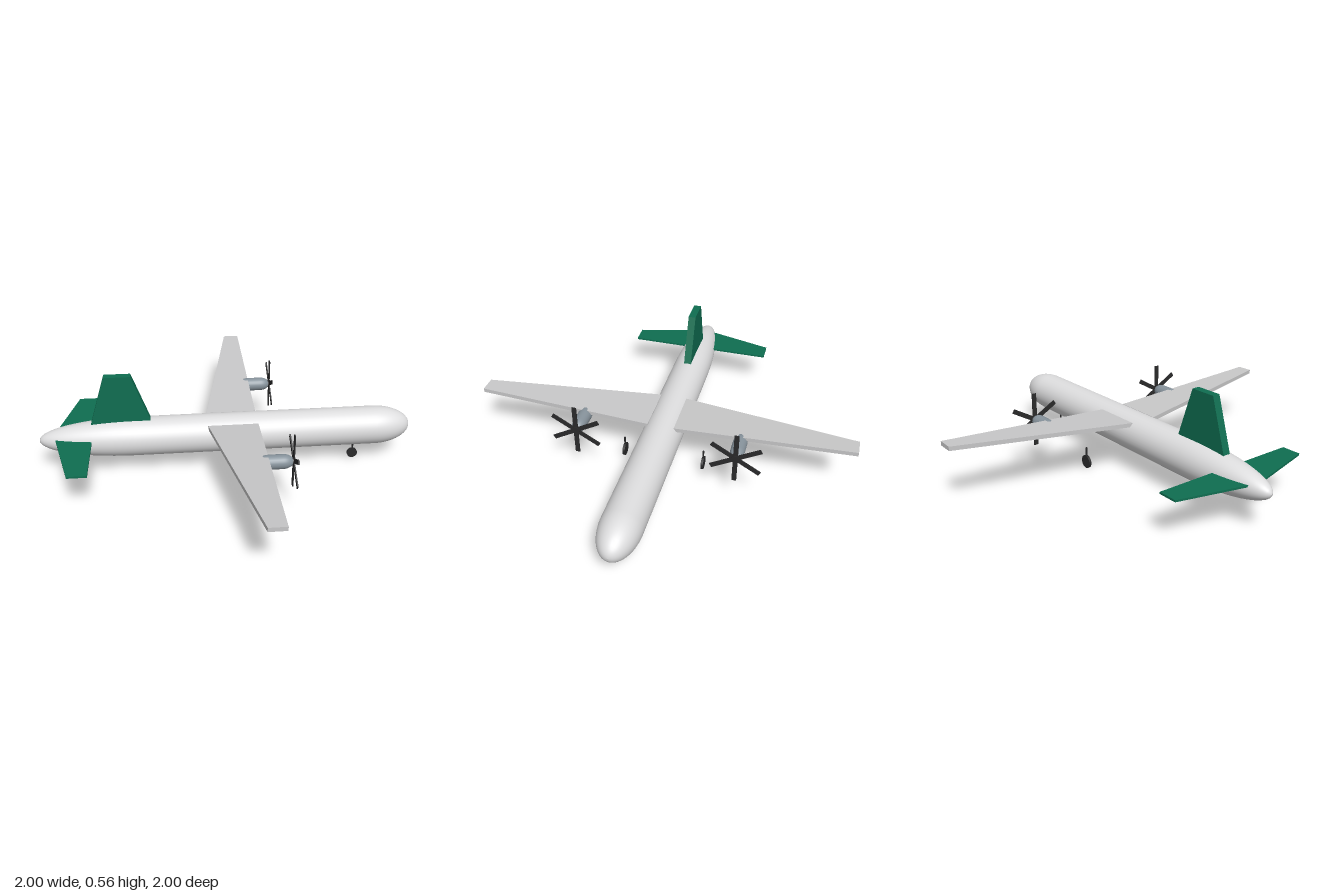
import * as THREE from 'three';

const mat = (name, color) => {
  const m = new THREE.MeshStandardMaterial({ color });
  m.name = name;
  return m;
};

export function createModel() {
  const bodyGrey = mat('bodyGrey', 0xdededf);
  const wingGrey = mat('wingGrey', 0xc8c8c9);
  const tailGreen = mat('tailGreen', 0x0f6e51);
  const engineGrey = mat('engineGrey', 0x87939c);
  const darkGrey = mat('darkGrey', 0x2a2a2b);

  const model = new THREE.Group();
  model.name = 'propellerAircraft';

  const add = (parent, name, geometry, material, x = 0, y = 0, z = 0) => {
    const mesh = new THREE.Mesh(geometry, material);
    mesh.name = name;
    mesh.position.set(x, y, z);
    parent.add(mesh);
    return mesh;
  };

  // Straight tube along x with elliptical ends: tail x0..x1, nose x2..x3
  const podGeometry = (x0, x1, x2, x3, r, sides) => {
    const points = [], n = 14;
    for (let i = 0; i <= n; i++) {
      const a = (i / n) * Math.PI / 2;
      points.push(new THREE.Vector2(r * Math.sin(a), x1 - (x1 - x0) * Math.cos(a)));
    }
    for (let i = 0; i <= n; i++) {
      const a = (i / n) * Math.PI / 2;
      points.push(new THREE.Vector2(r * Math.cos(a), x2 + (x3 - x2) * Math.sin(a)));
    }
    return new THREE.LatheGeometry(points, sides).rotateZ(-Math.PI / 2);
  };

  // Flat tapered panel: plan corners [x, span], extruded by thickness along +z
  const panelGeometry = (corners, thickness) => {
    const shape = new THREE.Shape(corners.map(([x, y]) => new THREE.Vector2(x, y)));
    return new THREE.ExtrudeGeometry(shape, { depth: thickness, bevelEnabled: false });
  };

  // Horizontal panel reaching out to side s, rising by a slope
  const sidePanel = (corners, thickness, s, slope = 0) => {
    const plan = corners.map(([x, z]) => [x, -s * z]);
    const g = panelGeometry(plan, thickness).rotateX(-Math.PI / 2);
    const p = g.attributes.position;
    for (let i = 0; i < p.count; i++) p.setY(i, p.getY(i) + slope * Math.abs(p.getZ(i)));
    g.computeVertexNormals();
    return g;
  };

  // Fuselage
  add(model, 'fuselage', podGeometry(-1, -0.5, 0.8, 1, 0.104, 40), bodyGrey, 0, 0.205, 0);

  // Tail fin
  add(model, 'tailFin',
    panelGeometry([[-0.722, 0.295], [-0.405, 0.295], [-0.5, 0.565], [-0.637, 0.565]], 0.04),
    tailGreen, 0, 0, -0.02);

  // Wheel with its strut
  const addGear = (name, x, z, r, top) => {
    const gear = new THREE.Group();
    gear.name = name;
    gear.position.set(x, 0, z);
    add(gear, 'wheel', new THREE.CylinderGeometry(r, r, 0.013, 14).rotateX(Math.PI / 2), darkGrey, 0, r, 0);
    add(gear, 'strut', new THREE.CylinderGeometry(0.005, 0.005, top - r, 8), darkGrey, 0, (top + r) / 2, 0);
    model.add(gear);
  };
  addGear('noseGear', 0.7, 0, 0.029, 0.11);

  for (const s of [1, -1]) {
    const side = s > 0 ? 'left' : 'right';

    // Main wing and tailplane
    add(model, side + 'Wing',
      sidePanel([[-0.11, 0.07], [0.157, 0.07], [0.157, 1], [0.07, 1]], 0.022, s, 0.052),
      wingGrey, 0, 0.26, 0);
    add(model, side + 'Tailplane',
      sidePanel([[-0.91, 0.05], [-0.72, 0.05], [-0.72, 0.4], [-0.82, 0.4]], 0.01, s),
      tailGreen, 0, 0.222, 0);

    // Engine with hub and six blades
    const engine = new THREE.Group();
    engine.name = side + 'Engine';
    engine.position.set(0, 0.27, 0.42 * s);
    add(engine, 'nacelle', podGeometry(0.092, 0.155, 0.23, 0.285, 0.037, 24), engineGrey);
    add(engine, 'propellerHub',
      new THREE.CylinderGeometry(0.02, 0.02, 0.02, 16).rotateZ(Math.PI / 2), darkGrey, 0.28, 0, 0);
    for (let i = 0; i < 6; i++) {
      const blade = new THREE.BoxGeometry(0.006, 0.134, 0.024).translate(0, 0.077, 0);
      add(engine, 'propellerBlade', blade, darkGrey, 0.284, 0, 0).rotation.x = i * Math.PI / 3;
    }
    model.add(engine);

    addGear(side + 'MainGear', 0.1, 0.22 * s, 0.036, 0.117);
  }
  return model;
}
